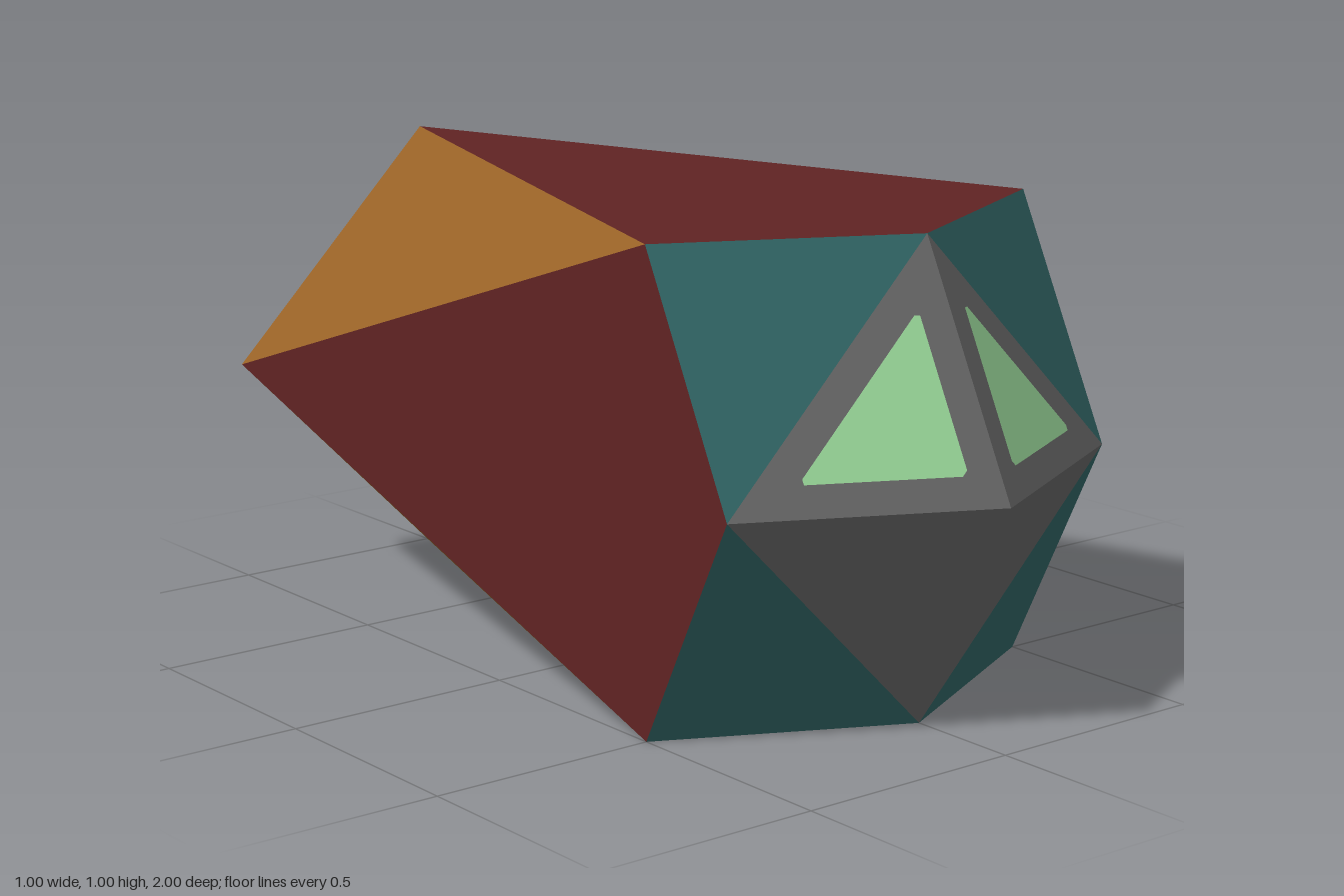
import * as THREE from 'three';

const mat = (name, color) => {
  const m = new THREE.MeshStandardMaterial({ color });
  m.name = name;
  return m;
};
const V = (x, y, z) => new THREE.Vector3(x, y, z);
const CENTRE = V(0, 0.5, 0);

// Flat convex polygon, wound to face away from the hull centre, lifted along its normal
function facet(points, lift = 0) {
  let p = points;
  const mid = p.reduce((s, v) => s.add(v), V(0, 0, 0)).divideScalar(p.length);
  const n = V(0, 0, 0).crossVectors(p[1].clone().sub(p[0]), p[2].clone().sub(p[0])).normalize();
  if (n.dot(mid.sub(CENTRE)) < 0) {
    p = [...p].reverse();
    n.negate();
  }
  const pos = [], normals = [], index = [];
  for (const v of p) {
    pos.push(...v.clone().addScaledVector(n, lift).toArray());
    normals.push(...n.toArray());
  }
  for (let i = 1; i < p.length - 1; i++) index.push(0, i, i + 1);
  const g = new THREE.BufferGeometry();
  g.setAttribute('position', new THREE.Float32BufferAttribute(pos, 3));
  g.setAttribute('normal', new THREE.Float32BufferAttribute(normals, 3));
  g.setIndex(index);
  return g;
}

// Trims the sharp tips of a polygon
const trim = (pts, t = 0.035) => pts.flatMap((p, i) => {
  const prev = pts[(i + pts.length - 1) % pts.length];
  const next = pts[(i + 1) % pts.length];
  return [p.clone().lerp(prev, t), p.clone().lerp(next, t)];
});

export function createModel() {
  const maroon = mat('maroon hull', 0x602323);
  const gold = mat('gold hull', 0x986226);
  const teal = mat('teal hull', 0x326767);
  const grey = mat('nose grey', 0x686868);
  const tailGrey = mat('tail grey', 0x525757);
  const green = mat('window green', 0x9ad89a);
  const red = mat('engine red', 0xb35959);

  const group = new THREE.Group();
  const add = (name, material, points, lift) => {
    const mesh = new THREE.Mesh(facet(points, lift), material);
    mesh.name = name;
    group.add(mesh);
  };

  const nose = V(0, 0.5, 1);
  const noseZ = (x, y) => 1 - 0.5 * Math.abs(x) - 0.5 * Math.abs(y - 0.5);
  const side = (s, z) => V(0.5 * s, 0.5, z);
  const level = (t, z) => V(0, 0.5 + 0.5 * t, z);
  const corner = (s, t) => V(0.5 * s, 0.5 + 0.5 * t, 0.5);

  for (const s of [1, -1]) {
    // Facets repeated in all four quadrants
    for (const t of [1, -1]) {
      add('noseFacet', grey, [nose, side(s, 0.75), level(t, 0.75)]);
      add('cheekFacet', teal, [side(s, 0.75), corner(s, t), level(t, 0.75)]);
      add('rearFacet', gold, [corner(s, t), level(t, -1), side(s, -1)]);
    }
    // Side panels, and top or bottom panels
    add('sidePanel', maroon, [side(s, 0.75), corner(s, 1), side(s, -1), corner(s, -1)]);
    add(s > 0 ? 'topPanel' : 'bottomPanel', maroon,
      [level(s, 0.75), corner(1, s), level(s, -1), corner(-1, s)]);

    // Front windows
    const win = [[0.058, 0.56], [0.058, 0.862], [0.36, 0.56]];
    add('frontWindow', green, trim(win.map(([x, y]) => V(s * x, y, noseZ(x, y)))), 0.003);

    // Engine panels
    const eng = [[0.038, 0.83], [0.368, 0.5], [0.038, 0.17]];
    add('enginePanel', red, trim(eng.map(([x, y]) => V(s * x, y, -1))), 0.003);
  }

  // Flat tail
  add('tailPlate', tailGrey, [level(1, -1), side(1, -1), level(-1, -1), side(-1, -1)]);
  return group;
}
